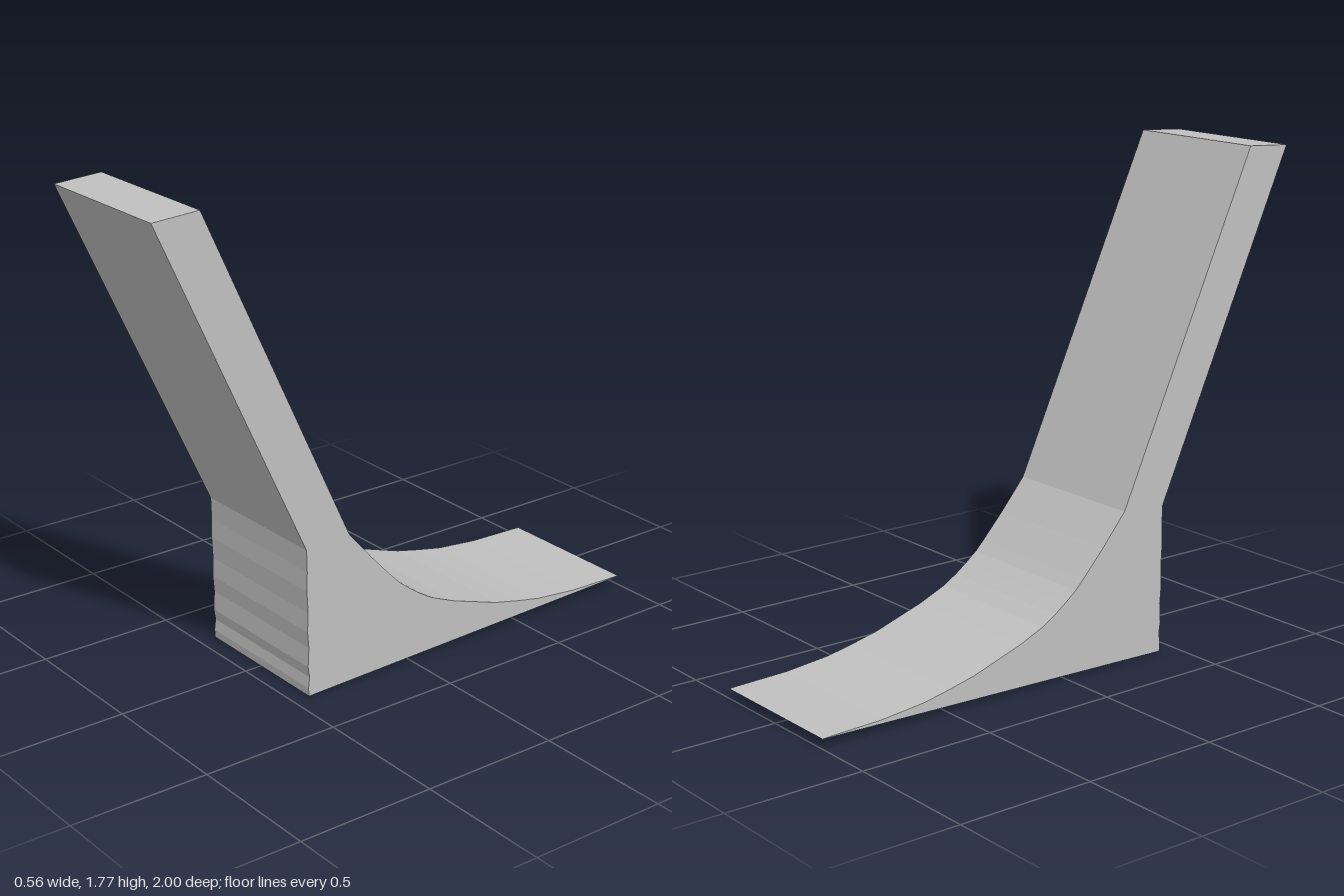
import * as THREE from 'three';

const WIDTH = 0.56;

export function createModel() {
  const group = new THREE.Group();
  group.name = 'slantedStand';
  const grey = new THREE.MeshStandardMaterial({ color: 0xc0c0c0 });
  grey.name = 'light grey';

  // Side outline as [z, y], counter-clockwise from the back tip
  const sole = [[-1, 0.035], [0.435, 0]];
  const frontWall = [[0.437, 0.03], [0.432, 0.07], [0.438, 0.11], [0.434, 0.18], [0.439, 0.24], [0.436, 0.31], [0.44, 0.39], [0.438, 0.46], [0.44, 0.54]];
  const slantedBoard = [[1, 1.757], [0.825, 1.767], [0.263, 0.55]];
  const rampCurve = [[0.166, 0.437], [0.08, 0.345], [0.045, 0.31], [0, 0.275], [-0.045, 0.243], [-0.1, 0.21], [-0.2, 0.168],
    [-0.395, 0.104], [-0.5, 0.08], [-0.6, 0.06], [-0.77, 0.043], [-0.98, 0.037]];
  const outline = [...sole, ...frontWall, ...slantedBoard, ...rampCurve];
  const shape = new THREE.Shape(outline.map(([z, y]) => new THREE.Vector2(z, y)));

  // One solid, extruded across the width and turned so the outline lies in z-y
  const geometry = new THREE.ExtrudeGeometry(shape, { depth: WIDTH, bevelEnabled: false });
  geometry.translate(0, 0, -WIDTH / 2);
  geometry.rotateY(-Math.PI / 2);
  const stand = new THREE.Mesh(geometry, grey);
  stand.name = 'boardWithRampFoot';
  group.add(stand);
  return group;
}
